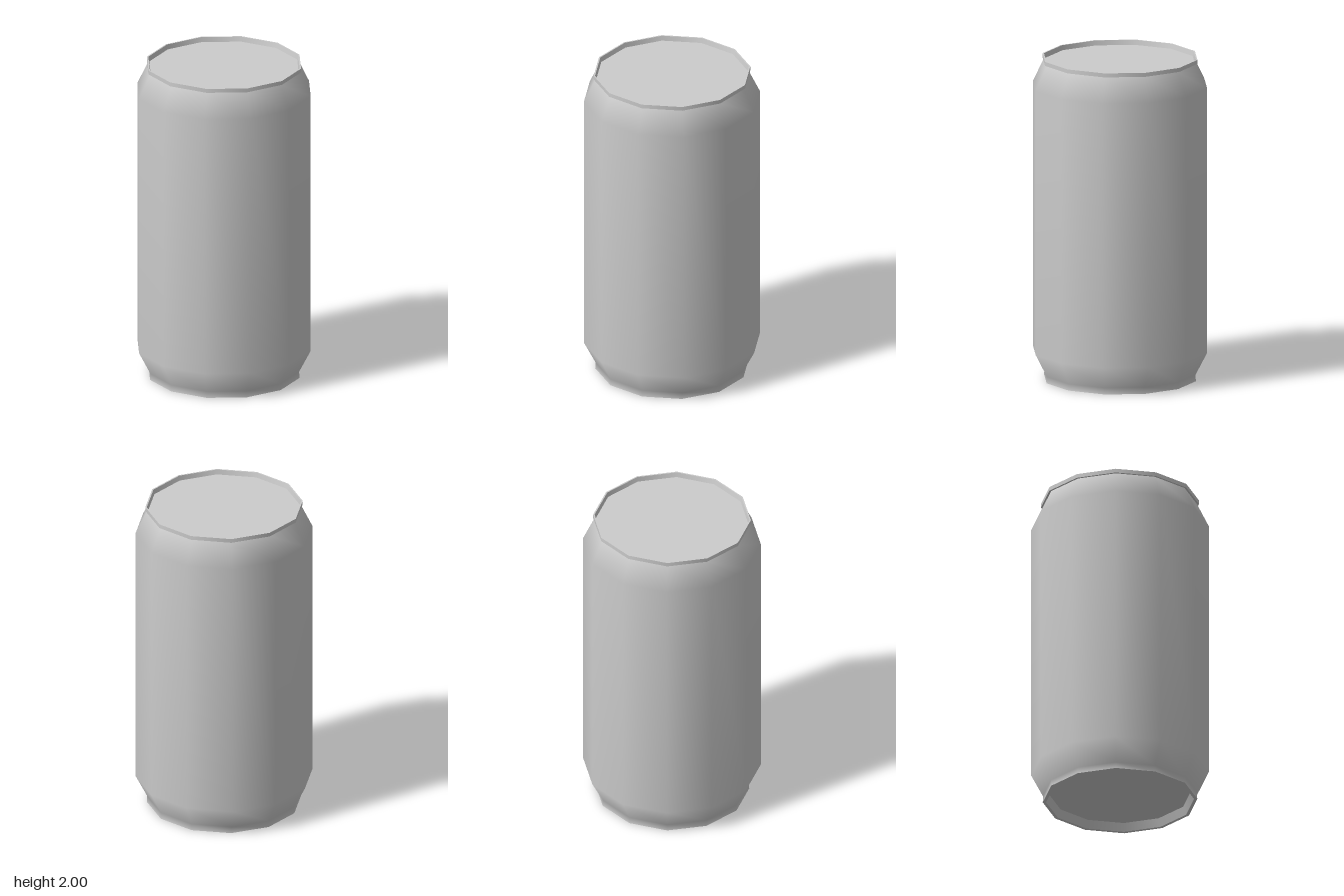
import * as THREE from 'three';

const SIDES = 12;

export function createModel() {
  const can = new THREE.Group();
  can.name = 'drinkCan';
  const material = new THREE.MeshStandardMaterial({ color: 0xcccccc });

  // Each ring is its own lathe, so edges between rings stay sharp
  const addRing = (name, profile) => {
    const points = profile.map(([r, y]) => new THREE.Vector2(r, y));
    const mesh = new THREE.Mesh(new THREE.LatheGeometry(points, SIDES), material);
    mesh.name = name;
    can.add(mesh);
  };

  // Recessed underside and foot, listed from the centre outwards
  addRing('base', [[0, 0.05], [0.43, 0.05]]);
  addRing('footInnerWall', [[0.43, 0.05], [0.45, 0]]);
  addRing('footEdge', [[0.45, 0], [0.47, 0]]);

  // Side wall with tapered foot and shoulder
  addRing('body', [[0.47, 0], [0.468, 0.04], [0.54, 0.18], [0.54, 1.825], [0.468, 1.975]]);

  // Raised rim around the sunken lid
  addRing('rimUnderside', [[0.468, 1.975], [0.48, 1.975]]);
  addRing('rimOuterWall', [[0.48, 1.975], [0.48, 2]]);
  addRing('rimEdge', [[0.48, 2], [0.471, 2]]);
  addRing('rimInnerWall', [[0.471, 2], [0.465, 1.97]]);
  addRing('lid', [[0.465, 1.97], [0, 1.97]]);

  return can;
}
